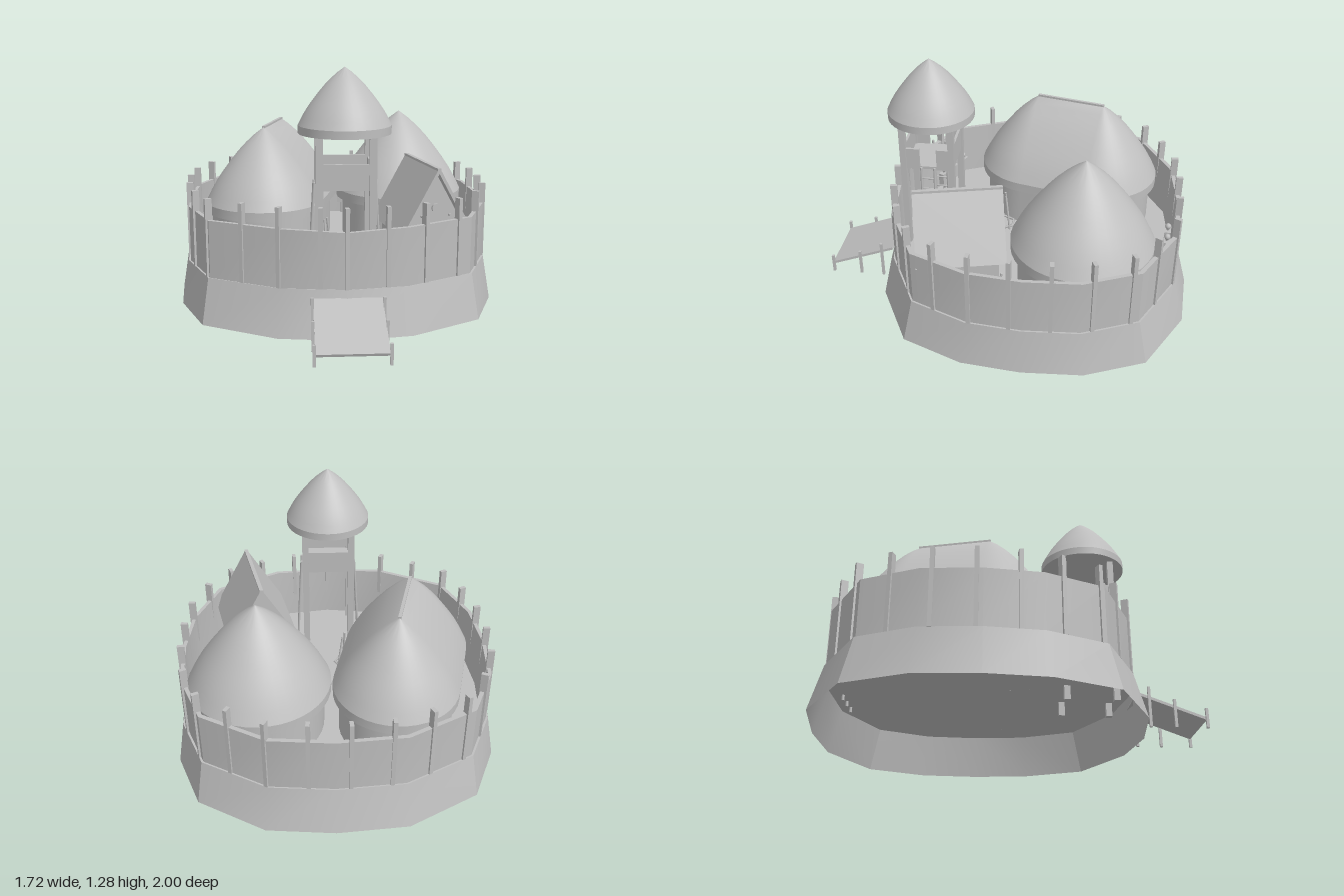
import * as THREE from 'three';
import { toCreasedNormals } from 'three/addons/utils/BufferGeometryUtils.js';

const clay = new THREE.MeshStandardMaterial({ color: 0xbfbfbf, side: THREE.DoubleSide });
clay.name = 'plain grey';

const FLOOR = 0.23;

function add(parent, name, geometry, x = 0, y = 0, z = 0, ry = 0) {
  const m = new THREE.Mesh(geometry, clay);
  m.name = name;
  m.position.set(x, y, z);
  m.rotation.y = ry;
  parent.add(m);
  return m;
}
const box = (w, h, d) => new THREE.BoxGeometry(w, h, d);

function group(parent, name, x = 0, y = 0, z = 0, ry = 0) {
  const g = new THREE.Group();
  g.name = name;
  g.position.set(x, y, z);
  g.rotation.y = ry;
  parent.add(g);
  return g;
}

// Round stick between two points
function stick(parent, name, a, b, r) {
  const p = new THREE.Vector3(...a), q = new THREE.Vector3(...b);
  const m = add(parent, name, new THREE.CylinderGeometry(r, r, p.distanceTo(q), 6));
  m.position.copy(p).add(q).multiplyScalar(0.5);
  m.quaternion.setFromUnitVectors(new THREE.Vector3(0, 1, 0), q.sub(p).normalize());
}

// Skin joining closed rings of points, listed from bottom to top
function loft(rings, crease) {
  const n = rings[0].length, index = [];
  for (let i = 0; i < rings.length - 1; i++) {
    for (let j = 0; j < n; j++) {
      const a = i * n + j, b = i * n + (j + 1) % n;
      index.push(a, b, b + n, a, b + n, a + n);
    }
  }
  const g = new THREE.BufferGeometry();
  g.setAttribute('position', new THREE.Float32BufferAttribute(rings.flat(2), 3));
  g.setIndex(index);
  return toCreasedNormals(g, crease);
}

// Thatch outline: fraction of radius against fraction of height
const thatch = [[1, 0], [0.92, 0.13], [0.82, 0.27], [0.71, 0.4], [0.58, 0.54],
  [0.44, 0.68], [0.3, 0.8], [0.15, 0.91], [0, 1]];

// Thatched roof over a line from a to b (a round roof when they coincide)
function thatchRoof(a, b, radius, bottom, eave, top) {
  const dir = a === b ? 0 : Math.atan2(b[0] - a[0], b[1] - a[1]);
  const ring = (r, y) => {
    const pts = [];
    for (let k = 0; k < 2; k++) {
      for (let i = 0; i <= 20; i++) {
        const t = dir - Math.PI / 2 + k * Math.PI + i * Math.PI / 20;
        const c = k ? a : b;
        pts.push([c[0] + Math.sin(t) * r, y, c[1] + Math.cos(t) * r]);
      }
    }
    return pts;
  };
  const rings = [ring(0, bottom), ring(radius, bottom)];
  for (const [r, h] of thatch) rings.push(ring(radius * r, eave + (top - eave) * h));
  return { roof: loft(rings, 0.36), wall: loft([ring(radius * 0.9, FLOOR), ring(radius * 0.9, bottom)], 0.6) };
}

// Sixteen-sided plan of the mound: half width and z, from front to back
const plan = [[0.33, 0.655], [0.697, 0.463], [0.83, 0.145], [0.86, -0.16],
  [0.84, -0.47], [0.71, -0.775], [0.355, -0.97]];
function outline(sx, sz) {
  const side = s => plan.map(([w, z]) => [(s * w + 0.02 * (1 - w / 0.86)) * sx, -0.15 + (z + 0.15) * sz]);
  return [[0.02, -0.15 + 0.85 * sz], ...side(1), [0.02, -0.15 - 0.85 * sz], ...side(-1).reverse()];
}
const at = (pts, y) => pts.map(([x, z]) => [x, y, z]);

function buildMound(root) {
  const rim = outline(0.955, 0.925);
  add(root, 'moundSkirt', loft([at(outline(1, 1), 0), at(rim, 0.232)], 0.5));
  const shape = new THREE.Shape(rim.map(([x, z]) => new THREE.Vector2(x, -z)));
  add(root, 'courtyardFloor', new THREE.ShapeGeometry(shape).rotateX(-Math.PI / 2), 0, FLOOR, 0);
}

function buildPalisade(root) {
  const g = group(root, 'palisade');
  // Plank wall, a little thicker at its foot and lower at the front gate
  const top = pts => pts.map(([x, z], i) => [x, i === 0 ? 0.512 : 0.525, z]);
  const outer = outline(0.942, 0.915), inner = outline(0.92, 0.89);
  add(g, 'plankWall', loft([at(outer, FLOOR), top(outer), top(inner), at(outline(0.908, 0.878), FLOOR)], 0.5));
  // Posts at even steps around the wall, with a shorter last step by the gate
  const ring = outline(0.935, 0.905).map(p => new THREE.Vector2(...p));
  const path = new THREE.Path([...ring, ring[0]]);
  for (let i = 0; i < 26; i++) {
    const t = i / 25.63;
    const p = path.getPoint(t), d = path.getTangent(t);
    add(g, 'wallPost', box(0.02, 0.4, 0.036), p.x, 0.432, p.y, Math.atan2(-d.y, d.x));
  }
}

function buildRamp(root) {
  const g = group(root, 'entranceRamp');
  const plank = add(g, 'rampDeck', box(0.335, 0.014, 0.375), 0.022, 0.123, 0.815);
  plank.rotation.x = Math.atan2(0.13, 0.35);
  for (const x of [-0.15, 0.194]) {
    for (const [z, h] of [[0.99, 0.11], [0.83, 0.155], [0.702, 0.22]]) {
      add(g, 'rampPost', box(0.014, h - 0.008, 0.014), x, h / 2 + 0.004, z);
    }
  }
}

function buildTower(root) {
  const g = group(root, 'watchtower', 0.02, 0, 0.413);
  const c = [0, 0];
  add(g, 'towerRoof', thatchRoof(c, c, 0.228, 0.96, 1.0, 1.278).roof);
  for (const x of [-0.128, 0.128]) {
    for (const z of [-0.123, 0.133]) add(g, 'towerLeg', box(0.035, 0.81, 0.032), x, 0.56, z);
    // Side rails leave an opening for the ladder
    for (const z of [-0.08, 0.085]) add(g, 'sideRail', box(0.014, 0.12, 0.075), x, 0.76, z);
    for (const z of [-0.035, 0.035]) stick(g, 'ladderPole', [x * 1.4, FLOOR, z], [x * 1.18, 0.72, z], 0.007);
    for (let i = 1; i < 8; i++) {
      const t = i / 8, lx = x * (1.4 - 0.22 * t), y = FLOOR + 0.49 * t;
      stick(g, 'ladderRung', [lx, y, -0.04], [lx, y, 0.04], 0.005);
    }
  }
  for (const z of [-0.123, 0.133]) add(g, 'towerRail', box(0.225, 0.125, 0.014), 0, 0.765, z);
  add(g, 'towerDeck', box(0.25, 0.015, 0.26), 0, 0.706, 0.005);
}

function buildHuts(root) {
  const c = [0.392, -0.42];
  const round = thatchRoof(c, c, 0.365, 0.455, 0.505, 0.957);
  add(root, 'roundHutRoof', round.roof);
  add(root, 'roundHutWall', round.wall);

  const a = [-0.3, -0.48], b = [-0.39, -0.12];
  const long = thatchRoof(a, b, 0.322, 0.455, 0.505, 0.91);
  add(root, 'longHouseRoof', long.roof);
  add(root, 'longHouseWall', long.wall);
  add(root, 'longHouseRidge', box(0.016, 0.016, 0.38), -0.345, 0.907, -0.3, Math.atan2(b[0] - a[0], b[1] - a[1]));
}

function buildGableHouse(root) {
  const g = group(root, 'gableHouse', 0.437, 0, 0.205, 0.234);
  const ridge = 0.77, half = 0.187, eave = 0.44, len = 0.45;
  const slope = Math.atan2(ridge - eave, half), run = Math.hypot(ridge - eave, half);
  for (const s of [-1, 1]) {
    const slab = add(g, 'roofSlope', box(run, 0.016, len), s * half / 2, (ridge + eave) / 2 - 0.004, 0);
    slab.rotation.z = -s * slope;
    // Gable end trim: round window, beam ends and door
    const z = s * 0.19;
    add(g, 'gableWindow', new THREE.CylinderGeometry(0.022, 0.022, 0.016, 16).rotateX(Math.PI / 2), 0, 0.57, z);
    for (const x of [-0.075, 0.075]) {
      add(g, 'beamEnd', new THREE.CylinderGeometry(0.007, 0.007, 0.03, 8).rotateX(Math.PI / 2), x, 0.53, z);
    }
    add(g, 'doorPanel', box(0.08, 0.2, 0.016), 0, FLOOR + 0.1, z);
  }
  add(g, 'ridgeBeam', box(0.02, 0.014, len), 0, ridge, 0);
  const end = new THREE.Shape([[-0.15, FLOOR], [0.15, FLOOR], [0.15, 0.48], [0, 0.745], [-0.15, 0.48]]
    .map(p => new THREE.Vector2(...p)));
  add(g, 'houseBody', new THREE.ExtrudeGeometry(end, { depth: 0.37, bevelEnabled: false }), 0, 0, -0.185);
}

function buildCourtyard(root) {
  // Fire pits: a six-sided log ring with three leaning poles
  for (const [x, z] of [[-0.07, 0.045], [0.63, -0.065]]) {
    const g = group(root, 'firePit', x, FLOOR, z);
    add(g, 'logRing', new THREE.TorusGeometry(0.062, 0.007, 5, 6).rotateX(Math.PI / 2), 0, 0.015, 0);
    for (let i = 0; i < 3; i++) {
      const t = i * Math.PI * 2 / 3 + 0.2;
      stick(g, 'leaningPole', [Math.sin(t) * 0.062, 0, Math.cos(t) * 0.062],
        [Math.sin(t) * 0.025, 0.2, Math.cos(t) * 0.025], 0.006);
    }
  }
  // Two rows of practice targets
  const row = (x, z, dx, dz, ry) => {
    for (let i = 0; i < 3; i++) {
      const g = group(root, 'practiceTarget', x + dx * i, FLOOR, z + dz * i, ry);
      add(g, 'targetPost', new THREE.CylinderGeometry(0.008, 0.008, 0.2, 6), 0, 0.07, 0);
      add(g, 'targetBody', box(0.06, 0.08, 0.034), 0, 0.11, 0);
      add(g, 'targetHead', new THREE.SphereGeometry(0.017, 8, 6), 0, 0.172, 0);
    }
  };
  row(0.085, -0.87, 0.098, 0.008, -0.1);
  row(-0.53, 0.36, 0.09, 0.042, -0.44);
}

export function createModel() {
  const root = new THREE.Group();
  root.name = 'hillFort';
  buildMound(root);
  buildPalisade(root);
  buildRamp(root);
  buildTower(root);
  buildHuts(root);
  buildGableHouse(root);
  buildCourtyard(root);
  return root;
}
